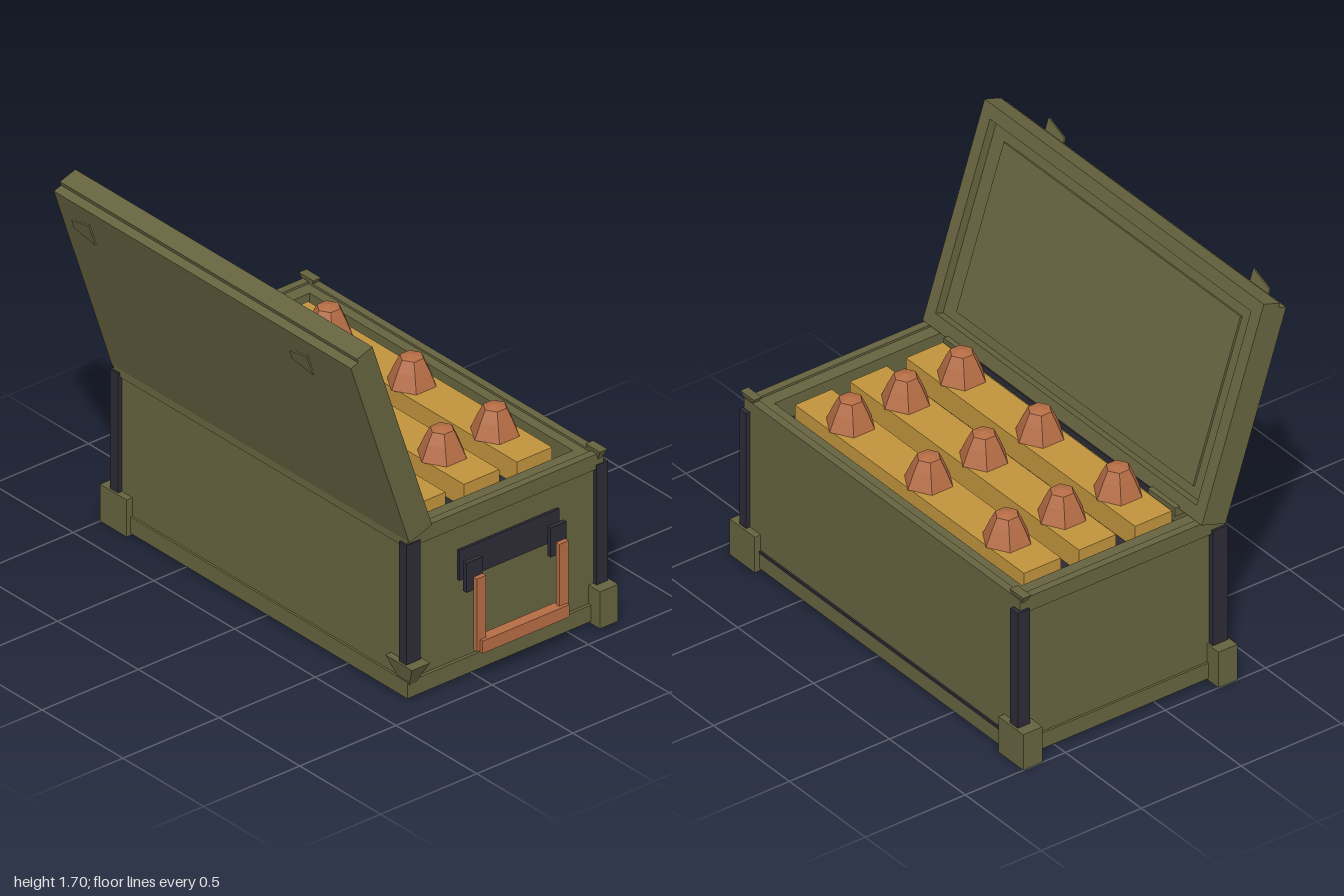
import * as THREE from 'three';

const mat = (color) => new THREE.MeshStandardMaterial({ color, flatShading: true, side: THREE.DoubleSide });
const olive = mat(0x66633f), dark = mat(0x2c2a34), wood = mat(0xc0933d), copper = mat(0xb46c44);

function add(parent, name, geometry, material) {
  const mesh = new THREE.Mesh(geometry, material);
  mesh.name = name;
  parent.add(mesh);
  return mesh;
}

// Box given by its two extreme corners
function box(parent, name, material, [x0, y0, z0], [x1, y1, z1]) {
  const g = new THREE.BoxGeometry(x1 - x0, y1 - y0, z1 - z0);
  g.translate((x0 + x1) / 2, (y0 + y1) / 2, (z0 + z1) / 2);
  return add(parent, name, g, material);
}

// Rectangular frame centred on the origin, extruded along z
function frame(w, h, border, depth) {
  const rect = (Type, a, b) => new Type([[-a, -b], [a, -b], [a, b], [-a, b]].map((p) => new THREE.Vector2(...p)));
  const shape = rect(THREE.Shape, w / 2, h / 2);
  shape.holes.push(rect(THREE.Path, w / 2 - border, h / 2 - border));
  return new THREE.ExtrudeGeometry(shape, { depth, bevelEnabled: false });
}

// Four-sided spike pointing down
function spike(parent, name, [x, y, z], [sx, sy, sz]) {
  const g = new THREE.ConeGeometry(Math.SQRT1_2, 1, 4);
  g.rotateY(Math.PI / 4).rotateX(Math.PI).scale(sx, sy, sz);
  add(parent, name, g, olive).position.set(x, y, z);
}

export function createModel() {
  const model = new THREE.Group();
  model.name = 'crate';
  const zMid = -0.03;

  // Body: walls, rim, base and inner floor
  const walls = frame(1.01, 1.79, 0.08, 0.74).rotateX(-Math.PI / 2);
  add(model, 'walls', walls, olive).position.set(0.175, 0.02, zMid);
  const rim = frame(1.02, 1.82, 0.035, 0.07).rotateX(-Math.PI / 2);
  add(model, 'rim', rim, olive).position.set(0.17, 0.7, zMid);
  box(model, 'base', olive, [-0.34, 0.01, -0.935], [0.685, 0.085, 0.88]);
  box(model, 'innerFloor', dark, [-0.26, 0.58, -0.88], [0.61, 0.66, 0.82]);
  box(model, 'baseTrim', dark, [0.66, 0.083, -0.84], [0.688, 0.095, 0.78]);

  // Corner posts
  for (const [x0, x1] of [[-0.35, -0.275], [0.64, 0.7]]) {
    for (const [z0, z1] of [[-0.95, -0.9], [0.84, 0.885]]) {
      box(model, 'cornerPost', dark, [x0, 0.16, z0], [x1, 0.72, z1]);
    }
  }

  // Feet, one of them tapered, and the top corner caps
  box(model, 'foot', olive, [0.615, 0, 0.77], [0.71, 0.17, 0.935]);
  box(model, 'foot', olive, [0.615, 0, -1], [0.71, 0.17, -0.835]);
  box(model, 'foot', olive, [-0.36, 0, -1], [-0.265, 0.17, -0.835]);
  spike(model, 'taperedFoot', [-0.313, 0.09, 0.85], [0.095, 0.16, 0.165]);
  for (const z of [-0.915, 0.86]) spike(model, 'cornerCap', [0.66, 0.745, z], [0.04, 0.09, 0.09]);

  // Slats with three rounded hexagonal tips each
  const profile = [[0.105, 0.765], [0.075, 0.835], [0.05, 0.885], [0, 0.897]].map((p) => new THREE.Vector2(...p));
  const tip = new THREE.LatheGeometry(profile, 6, Math.PI / 2);
  for (const x of [-0.1, 0.18, 0.455]) {
    box(model, 'slat', wood, [x - 0.092, 0.65, -0.79], [x + 0.092, 0.766, 0.72]);
    for (const z of [-0.55, -0.035, 0.48]) add(model, 'tip', tip, copper).position.set(x - 0.004, 0, z);
  }

  // Carrying handle on the front end
  const handle = new THREE.Group();
  handle.name = 'handle';
  model.add(handle);
  box(handle, 'handlePlate', dark, [-0.085, 0.465, 0.885], [0.435, 0.605, 0.898]);
  for (const x of [-0.085, 0.352]) box(handle, 'handleBracket', dark, [x, 0.43, 0.922], [x + 0.083, 0.565, 0.943]);
  for (const x of [-0.067, 0.362]) box(handle, 'handleArm', copper, [x, 0.17, 0.963], [x + 0.048, 0.505, 0.985]);
  box(handle, 'handleGrip', copper, [-0.05, 0.163, 0.95], [0.402, 0.22, 1]);

  // Open lid, built upright and leaned back: local y runs up the lid, +x is its inner side
  const lid = new THREE.Group();
  lid.name = 'lid';
  lid.position.set(-0.22, 0.77, zMid);
  lid.rotation.z = 0.32;
  model.add(lid);
  box(lid, 'lidPlate', olive, [-0.125, 0, -0.92], [-0.083, 0.965, 0.92]);
  const lidRim = frame(1.84, 0.985, 0.06, 0.085).rotateY(Math.PI / 2);
  add(lid, 'lidRim', lidRim, olive).position.set(-0.085, 0.4925, 0);
  box(lid, 'lidInnerPlate', olive, [-0.09, 0.05, -0.87], [-0.04, 0.93, 0.87]);
  box(lid, 'lidInnerPanel', olive, [-0.05, 0.105, -0.78], [-0.03, 0.86, 0.78]);

  // Tapered latch plates behind the lid
  const latchShape = new THREE.Shape([[-0.06, 0.053], [-0.06, -0.053], [0.06, -0.02], [0.06, 0.02]].map((p) => new THREE.Vector2(...p)));
  const latch = new THREE.ExtrudeGeometry(latchShape, { depth: 0.008, bevelEnabled: false }).rotateY(Math.PI / 2);
  for (const z of [-0.68, 0.67]) add(lid, 'latch', latch, olive).position.set(-0.192, 0.932, z);

  // Hinges and hinge rod
  for (const z of [-0.71, 0.635]) box(model, 'hinge', olive, [-0.29, 0.74, z - 0.09], [-0.2, 0.78, z + 0.09]);
  box(model, 'hingeRod', dark, [-0.235, 0.745, -0.62], [-0.215, 0.772, 0.55]);

  return model;
}
